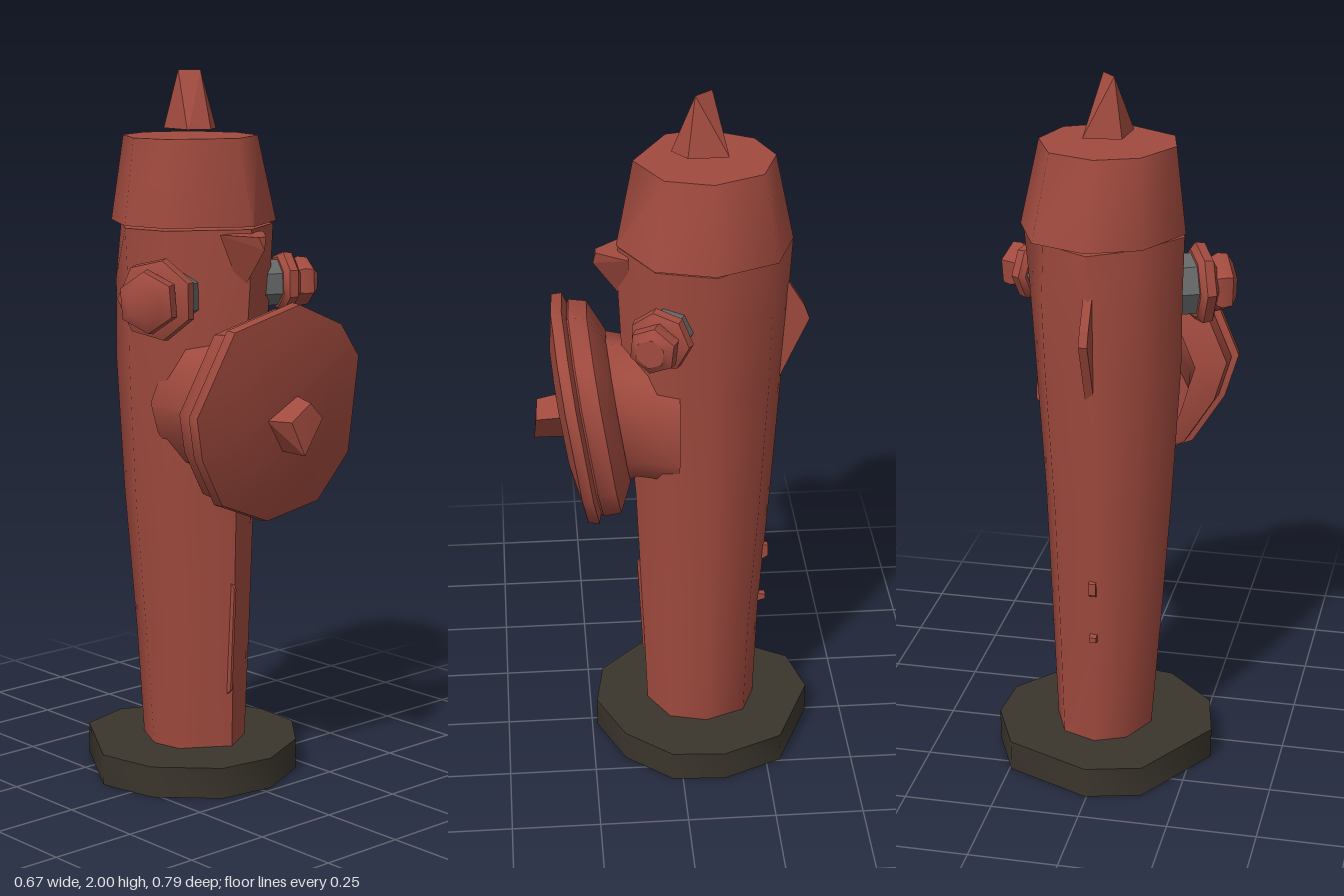
import * as THREE from 'three';
import { toCreasedNormals } from 'three/addons/utils/BufferGeometryUtils.js';
import { ConvexGeometry } from 'three/addons/geometries/ConvexGeometry.js';

const material = (name, color) => Object.assign(new THREE.MeshStandardMaterial({ color }), { name });

// Skins a list of rings (counter-clockwise seen from the last ring) and caps both ends.
function loft(rings, crease = 1.0) {
  const n = rings[0].length, pos = rings.flat(2), idx = [];
  for (let i = 0; i < rings.length - 1; i++) {
    for (let j = 0; j < n; j++) {
      const k = (j + 1) % n, a = i * n + j, b = i * n + k;
      idx.push(a, b, b + n, a, b + n, a + n);
    }
  }
  [0, rings.length - 1].forEach((r, end) => {
    const c = pos.length / 3;
    for (let m = 0; m < 3; m++) pos.push(rings[r].reduce((s, p) => s + p[m], 0) / n);
    for (let j = 0; j < n; j++) {
      const a = r * n + j, b = r * n + (j + 1) % n;
      if (end) idx.push(c, a, b); else idx.push(c, b, a);
    }
  });
  const g = new THREE.BufferGeometry();
  g.setAttribute('position', new THREE.Float32BufferAttribute(pos, 3));
  g.setIndex(idx);
  return toCreasedNormals(g, crease);
}

const hull = (pts) => new ConvexGeometry(pts.map((p) => new THREE.Vector3(...p)));

// Uneven eight-sided plan shared by barrel and bonnet, as unit x, z
const PLAN = [[0.05, 1], [0.8, 0.62], [1, -0.05], [0.68, -0.76], [0, -1], [-0.62, -0.76], [-1, -0.08], [-0.87, 0.48]];
const planRing = (y, cx, rx, back, front, pinch = 1) => PLAN.map(([x, z], i) => {
  const s = i === 3 || i === 5 ? pinch : 1;
  return [cx + x * rx * s, y, (back + front) / 2 + z * s * (front - back) / 2];
});

export function createModel() {
  const red = material('paintedRed', 0xa04a3e);
  const dark = material('darkBase', 0x3a352c);
  const grey = material('bareMetal', 0x666868);
  const model = new THREE.Group();
  model.name = 'hydrant';
  const add = (name, geometry, mat = red, parent = model) => {
    const mesh = new THREE.Mesh(geometry, mat);
    mesh.name = name;
    parent.add(mesh);
    return mesh;
  };

  // Ground flange with the barrel showing through its underside
  const outline = [[0.005, -0.395], [-0.15, -0.355], [-0.305, -0.1], [-0.27, 0.07], [-0.13, 0.21],
    [0.03, 0.235], [0.2, 0.16], [0.31, 0.03], [0.32, -0.12], [0.245, -0.29]];
  const flange = new THREE.Shape(outline.map(([x, z]) => new THREE.Vector2(x, -z)));
  flange.holes.push(new THREE.Path(planRing(0, 0.015, 0.125, -0.22, 0.07).map(([x, , z]) => new THREE.Vector2(x, -z))));
  const flangeGeo = new THREE.ExtrudeGeometry(flange, { depth: 0.088, bevelEnabled: false });
  flangeGeo.rotateX(-Math.PI / 2);
  add('groundFlange', toCreasedNormals(flangeGeo, 0.9), dark);

  // Tapered barrel
  add('barrel', loft([
    planRing(0.015, 0.015, 0.135, -0.23, 0.08),
    planRing(0.4, 0.008, 0.158, -0.245, 0.095),
    planRing(0.8, 0, 0.18, -0.275, 0.112),
    planRing(1.2, 0.002, 0.205, -0.3, 0.145),
    planRing(1.42, 0.008, 0.213, -0.312, 0.155, 0.97),
    planRing(1.575, 0.012, 0.222, -0.32, 0.155, 0.88),
  ]));

  // Bonnet
  add('bonnet', loft([
    planRing(1.582, 0.015, 0.228, -0.32, 0.16),
    planRing(1.82, 0.003, 0.188, -0.27, 0.112),
  ]));

  // Wedge-shaped operating nut on top
  add('topNut', hull([
    [-0.055, 1.84, -0.02], [0.06, 1.84, -0.03], [0.06, 1.84, -0.14], [-0.045, 1.84, -0.13], [0.005, 1.84, 0.01],
    [-0.045, 1.855, -0.02], [0.05, 1.855, -0.03], [0.055, 1.855, -0.13],
    [-0.018, 2, -0.1], [0.022, 2, -0.052],
  ]));

  // Pointed brow, back fin and small nubs
  add('brow', hull([
    [-0.07, 1.565, 0.13], [0.09, 1.565, 0.13], [0.01, 1.4, 0.13],
    [-0.005, 1.56, 0.215], [0.022, 1.56, 0.215], [0.01, 1.525, 0.222],
  ]));
  const fin = (name, profile, x, w) => add(name, hull(profile.flatMap(([y, z]) => [[x - w, y, z], [x + w, y, z]])));
  fin('backFin', [[1.47, -0.3], [1.38, -0.355], [1.34, -0.37], [1.26, -0.33], [1.15, -0.285]], 0.01, 0.012);
  fin('backNubUpper', [[0.61, -0.24], [0.605, -0.27], [0.57, -0.27], [0.55, -0.24]], 0.01, 0.01);
  fin('backNubLower', [[0.44, -0.23], [0.435, -0.265], [0.42, -0.265], [0.41, -0.23]], 0.01, 0.01);
  fin('frontSeam', [[0.58, 0.09], [0.56, 0.11], [0.26, 0.095], [0.24, 0.075]], 0.008, 0.004);

  // Large front outlet: neck, rear collar and tilted cap
  const disc = [[0.29, 0.94], [0.285, 1.22], [0.2, 1.32], [0.03, 1.39], [-0.2, 1.335], [-0.305, 1.11],
    [-0.27, 0.99], [-0.18, 0.85], [0, 0.778], [0.19, 0.81]];
  const discRing = (s, z, tilt = 0.15) => disc.map(([x, y]) => {
    const py = 1.085 + (y - 1.085) * s;
    return [x * s, py, z + tilt * (py - 1.085)];
  });
  add('frontNeck', loft([discRing(0.68, 0, 0), discRing(0.62, 0.13, 0.1), discRing(0.66, 0.18)]));
  add('frontCollar', loft([discRing(0.66, 0.16), discRing(0.92, 0.2), discRing(0.94, 0.25), discRing(0.86, 0.265)], 0.8));
  add('frontCap', loft([discRing(0.86, 0.25), discRing(1, 0.265), discRing(0.99, 0.295), discRing(0.6, 0.318), discRing(0.2, 0.325)], 0.8));
  add('frontCapNut', hull([
    [-0.045, 1.06, 0.31], [0.03, 1.14, 0.32], [0.08, 1.09, 0.31], [0, 0.985, 0.3],
    [-0.07, 1.08, 0.32], [-0.04, 1.08, 0.385], [0.03, 1.125, 0.385], [0.07, 1.08, 0.39], [0, 0.985, 0.395],
  ]));

  // Side outlets, each a turned stack pointing out and slightly forward
  const turned = (profile, sides) => loft(profile.map(([r, h]) => Array.from({ length: sides }, (_, j) => {
    const a = (j / sides) * Math.PI * 2;
    return [Math.sin(a) * r, h, Math.cos(a) * r];
  })), 0.7);
  const outlet = (name, base, dir, flangeR, capR, length) => {
    const group = new THREE.Group();
    group.name = name;
    group.position.set(...base);
    group.quaternion.setFromUnitVectors(new THREE.Vector3(0, 1, 0), new THREE.Vector3(...dir).normalize());
    add('pipe', turned([[flangeR * 0.75, -0.06], [flangeR * 0.75, length * 0.45]], 7), grey, group);
    add('flange', turned([[flangeR * 0.85, length * 0.25], [flangeR, length * 0.35],
      [flangeR * 0.96, length * 0.52], [capR * 0.85, length * 0.62]], 7), red, group);
    add('cap', turned([[capR * 0.8, length * 0.5], [capR, length * 0.7], [capR * 0.95, length * 0.88],
      [capR * 0.6, length]], 6), red, group);
    model.add(group);
  };
  outlet('rightOutlet', [-0.17, 1.395, 0.025], [-0.9, 0, 0.42], 0.115, 0.088, 0.155);
  outlet('leftOutlet', [0.185, 1.405, 0.03], [0.9, 0, 0.4], 0.088, 0.07, 0.15);

  return model;
}
